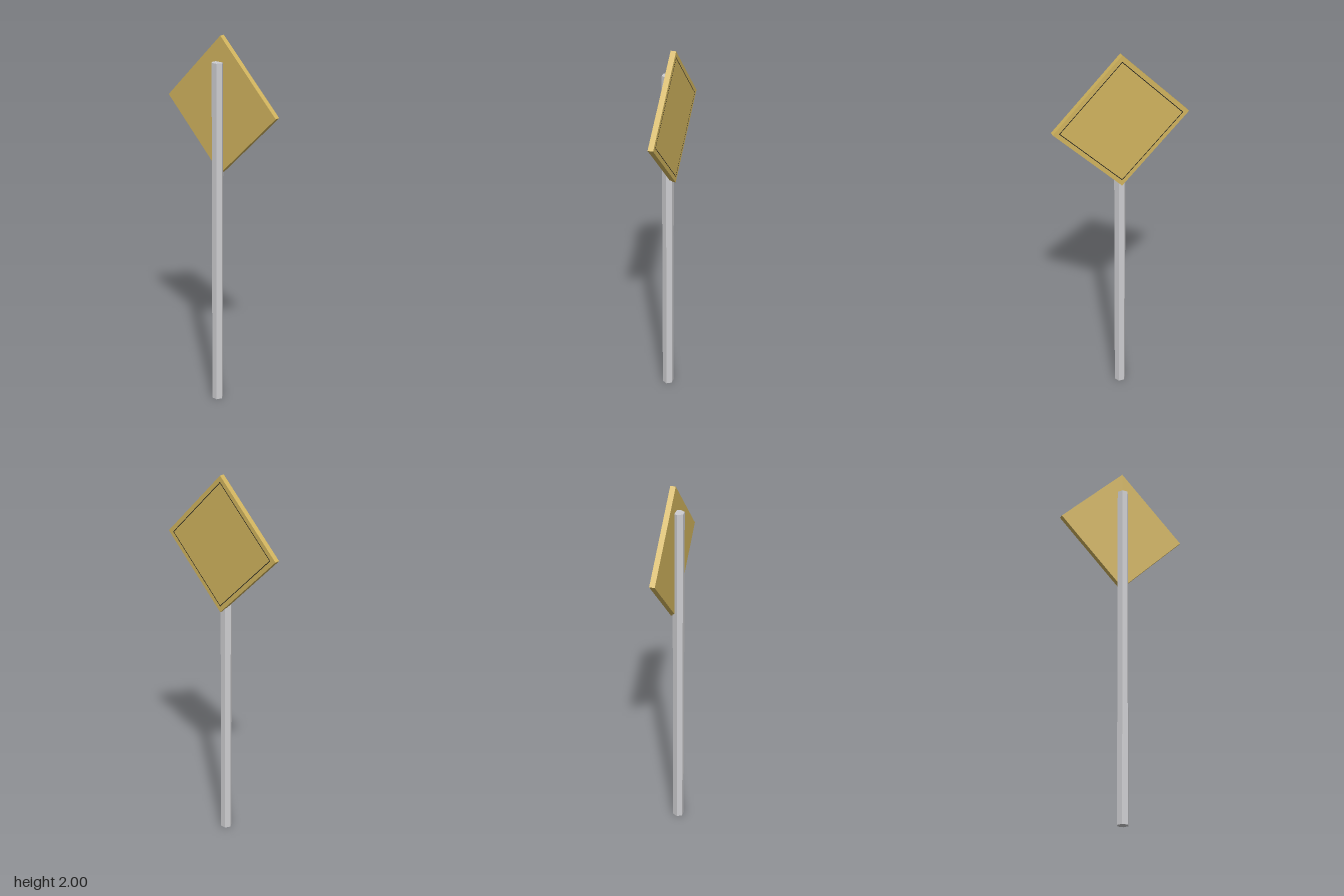
import * as THREE from 'three';

const flat = (name, color) => {
  const m = new THREE.MeshStandardMaterial({ color });
  m.name = name;
  return m;
};

// Diamond outline with the given half diagonal
function diamond(r, Type = THREE.Shape) {
  return new Type([[0, -r], [r, 0], [0, r], [-r, 0]].map(([x, y]) => new THREE.Vector2(x, y)));
}

export function createModel() {
  const group = new THREE.Group();
  const yellow = flat('sign yellow', 0xd1b45e);
  const grey = flat('pole grey', 0xcdcdd0);
  const black = flat('border black', 0x1a1a1a);
  grey.flatShading = true;

  const add = (name, geometry, material, x, y, z) => {
    const mesh = new THREE.Mesh(geometry, material);
    mesh.name = name;
    mesh.position.set(x, y, z);
    group.add(mesh);
    return mesh;
  };

  // Six-sided pole, flat side to the front, set slightly into the board
  const poleHeight = 1.87;
  const poleGeometry = new THREE.CylinderGeometry(0.0304, 0.0304, poleHeight, 6);
  poleGeometry.rotateY(Math.PI / 2);
  add('pole', poleGeometry, grey, -0.004, poleHeight / 2, 0.007);

  // Square board standing on its corner
  const boardY = 1.6465, side = 0.5;
  const board = add('signBoard', new THREE.BoxGeometry(side, side, 0.027), yellow, 0, boardY, -0.0215);
  board.rotation.z = Math.PI / 4;

  // Fine border line on the far face
  const border = diamond(0.322);
  border.holes.push(diamond(0.317, THREE.Path));
  const borderGeometry = new THREE.ShapeGeometry(border);
  borderGeometry.rotateY(Math.PI);
  add('borderLine', borderGeometry, black, 0, boardY, -0.0355);

  return group;
}
